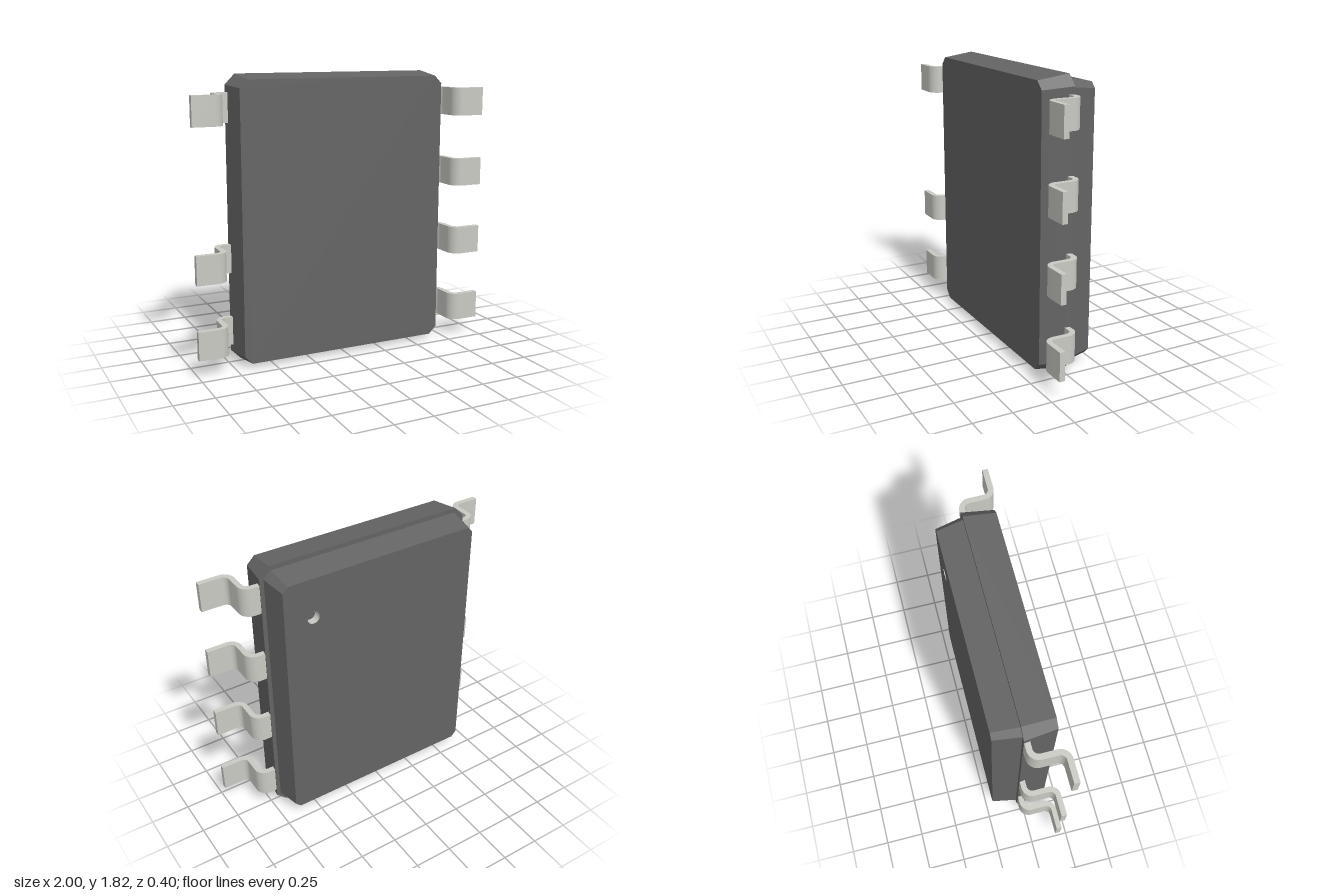
import * as THREE from 'three';
import { toCreasedNormals } from 'three/addons/utils/BufferGeometryUtils.js';

const MID = 0.908; // height of the body's centre
const SPLIT = -0.038; // z of the parting plane
const DOT = { x: 0.475, y: 1.5 - MID, r: 0.04, depth: 0.05 };

const bodyMat = new THREE.MeshStandardMaterial({ color: 0x646464 });
const sideMat = new THREE.MeshStandardMaterial({ color: 0x646464, side: THREE.DoubleSide });
const pinMat = new THREE.MeshStandardMaterial({ color: 0xcacac4 });
const dotMat = new THREE.MeshStandardMaterial({ color: 0xcacac4, side: THREE.DoubleSide });

// Rectangle with chamfered corners, counter-clockwise
function outline({ w, h, c }) {
  return [[w, -h + c], [w, h - c], [w - c, h], [-w + c, h],
    [-w, h - c], [-w, -h + c], [-w + c, -h], [w - c, -h]].map(([x, y]) => new THREE.Vector2(x, y));
}

// Sloped walls between a rear and a front outline
function walls(back, zBack, front, zFront) {
  const a = outline(back), b = outline(front), pos = [];
  a.forEach((p, i) => {
    const j = (i + 1) % a.length, q = a[j], r = b[j], s = b[i];
    pos.push(p.x, p.y, zBack, q.x, q.y, zBack, r.x, r.y, zFront);
    pos.push(p.x, p.y, zBack, r.x, r.y, zFront, s.x, s.y, zFront);
  });
  const g = new THREE.BufferGeometry();
  g.setAttribute('position', new THREE.Float32BufferAttribute(pos, 3));
  g.computeVertexNormals();
  return g;
}

function add(parent, name, geometry, material, x = 0, y = 0, z = 0) {
  const mesh = new THREE.Mesh(geometry, material);
  mesh.name = name;
  mesh.position.set(x, y, z);
  parent.add(mesh);
  return mesh;
}

// Bent lead: flat shoulder, drop, flat foot
function pinGeometry(width) {
  const s = new THREE.Shape();
  s.moveTo(0.66, 0.035);
  s.lineTo(0.76, 0.035);
  s.absarc(0.76, -0.035, 0.07, Math.PI / 2, 0, true);
  s.absarc(0.865, -0.13, 0.035, Math.PI, Math.PI * 1.5, false);
  s.lineTo(1, -0.165);
  s.lineTo(1, -0.2);
  s.absarc(0.865, -0.13, 0.07, Math.PI * 1.5, Math.PI, true);
  s.absarc(0.76, -0.035, 0.035, 0, Math.PI / 2, false);
  s.lineTo(0.66, 0);
  const g = new THREE.ExtrudeGeometry(s, { depth: width, bevelEnabled: false, curveSegments: 10 });
  g.translate(0, 0, -width / 2);
  g.rotateX(-Math.PI / 2);
  return toCreasedNormals(g, 0.6);
}

export function createModel() {
  const model = new THREE.Group();
  model.name = 'chipPackage';

  const body = new THREE.Group();
  body.name = 'body';
  body.position.y = MID;
  model.add(body);

  // Front half, wider at the parting plane
  const frontRim = { w: 0.72, h: 0.908, c: 0.065 }, frontEnd = { w: 0.695, h: 0.88, c: 0.05 };
  const cap = (size) => new THREE.ShapeGeometry(new THREE.Shape(outline(size)));
  add(body, 'frontHalfWalls', walls(frontRim, SPLIT, frontEnd, 0.163), sideMat);
  add(body, 'frontFace', cap(frontEnd), bodyMat, 0, 0, 0.163);
  add(body, 'partingLedge', cap(frontRim).rotateY(Math.PI), bodyMat, 0, 0, SPLIT);

  // Back half, slightly narrower
  const backRim = { w: 0.693, h: 0.879, c: 0.045 }, backEnd = { w: 0.665, h: 0.85, c: 0.035 };
  const zBack = -0.204;
  add(body, 'backHalfWalls', walls(backEnd, zBack, backRim, SPLIT), sideMat);

  // Back face with the round marker recess
  const face = new THREE.Shape(outline(backEnd));
  face.holes.push(new THREE.Path().absarc(-DOT.x, DOT.y, DOT.r, 0, Math.PI * 2, true));
  add(body, 'backFace', new THREE.ShapeGeometry(face, 24).rotateY(Math.PI), bodyMat, 0, 0, zBack);
  const recess = new THREE.CylinderGeometry(DOT.r, DOT.r, DOT.depth, 24, 1, true).rotateX(Math.PI / 2);
  add(body, 'markerWall', recess, dotMat, DOT.x, DOT.y, zBack + DOT.depth / 2);
  add(body, 'markerFloor', new THREE.CircleGeometry(DOT.r, 24).rotateY(Math.PI), bodyMat,
    DOT.x, DOT.y, zBack + DOT.depth);

  // Four leads on the left side, three on the right
  const pin = pinGeometry(0.183);
  const heights = [0.205, 0.675, 1.145, 1.615];
  heights.forEach((y, i) => {
    add(model, 'leftPin', pin, pinMat, 0, y);
    if (i !== 2) add(model, 'rightPin', pin, pinMat, 0, y).scale.x = -1;
  });
  return model;
}
